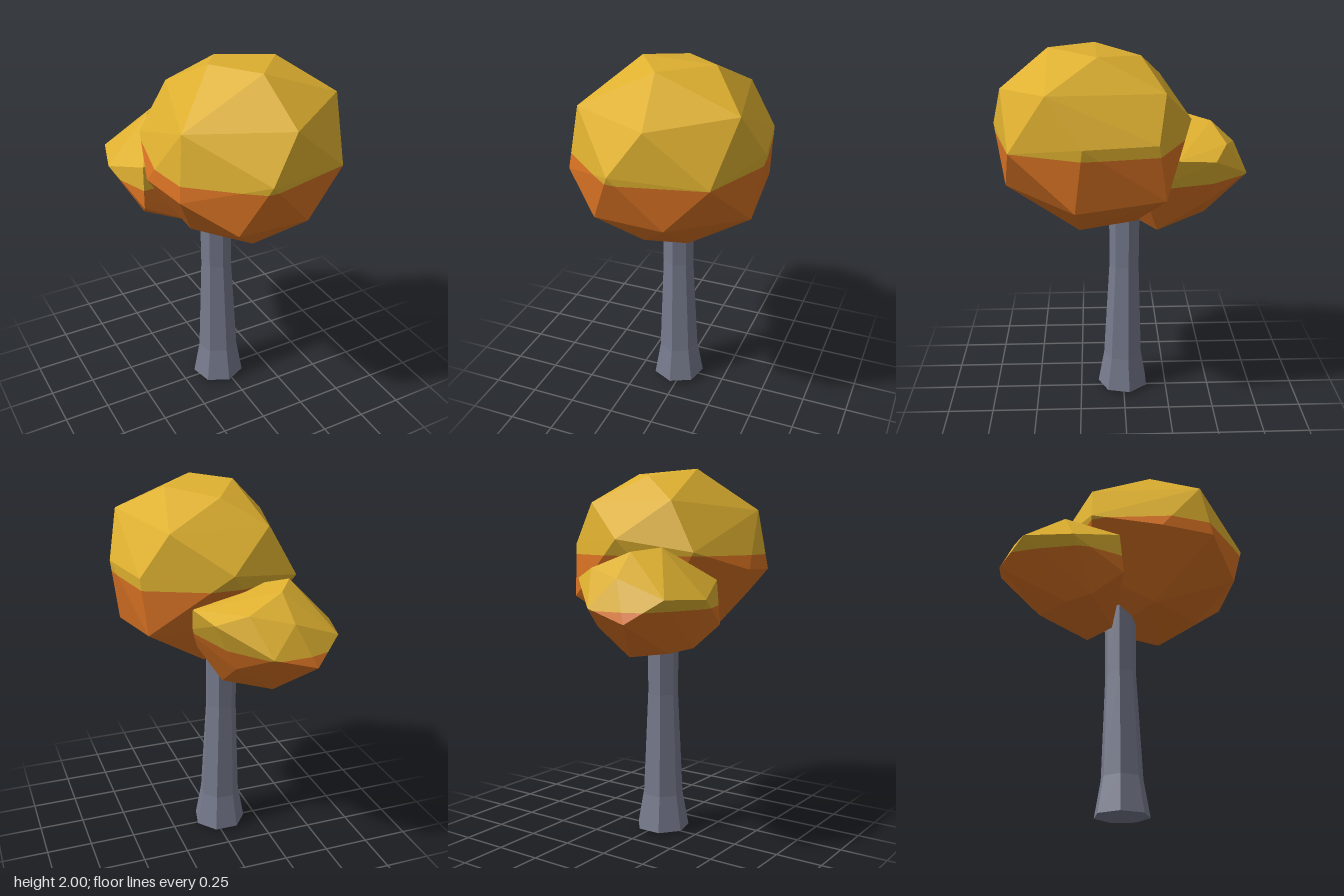
import * as THREE from 'three';
import { ConvexGeometry } from 'three/addons/geometries/ConvexGeometry.js';

const mat = (name, color) => {
  const m = new THREE.MeshStandardMaterial({ color, flatShading: true });
  m.name = name;
  return m;
};

// Part of a faceted solid above (sign 1) or below (sign -1) a height
function clipAt(geometry, height, sign) {
  const pos = geometry.attributes.position;
  const out = [];
  for (let i = 0; i < pos.count; i += 3) {
    const tri = [0, 1, 2].map(k => new THREE.Vector3().fromBufferAttribute(pos, i + k));
    const poly = [];
    tri.forEach((a, k) => {
      const b = tri[(k + 1) % 3];
      const da = (a.y - height) * sign, db = (b.y - height) * sign;
      if (da >= 0) poly.push(a);
      if (da * db < 0) poly.push(a.clone().lerp(b, da / (da - db)));
    });
    for (let k = 1; k + 1 < poly.length; k++) {
      for (const p of [poly[0], poly[k], poly[k + 1]]) out.push(p.x, p.y, p.z);
    }
  }
  const g = new THREE.BufferGeometry();
  g.setAttribute('position', new THREE.Float32BufferAttribute(out, 3));
  g.computeVertexNormals();
  return g;
}

// Faceted leaf clump, two colours meeting at a level line
function leafClump(name, corners, level, upper, lower) {
  const hull = new ConvexGeometry(corners.map(c => new THREE.Vector3(...c)));
  const group = new THREE.Group();
  group.name = name;
  const top = new THREE.Mesh(clipAt(hull, level, 1), upper);
  top.name = name + 'Top';
  const base = new THREE.Mesh(clipAt(hull, level, -1), lower);
  base.name = name + 'Underside';
  group.add(top, base);
  return group;
}

// Seven-sided trunk lofted through rings that flare at the foot
function trunkGeometry() {
  const rings = [ // y, centre x, centre z, radius
    [0.015, -0.03, 0, 0.148],
    [0.21, -0.03, 0, 0.113],
    [0.78, -0.035, -0.008, 0.086],
    [1.2, -0.037, -0.01, 0.088],
  ];
  const sides = 7;
  const g = new THREE.CylinderGeometry(1, 1, 1, sides, rings.length - 1).toNonIndexed();
  const pos = g.attributes.position;
  for (let i = 0; i < pos.count; i++) {
    const r = rings[Math.round((pos.getY(i) + 0.5) * (rings.length - 1))];
    const x = pos.getX(i), z = pos.getZ(i);
    const footCentre = r === rings[0] && Math.hypot(x, z) < 0.01;
    pos.setXYZ(i, r[1] + x * r[3], footCentre ? 0 : r[0], r[2] + z * r[3]);
  }
  g.computeVertexNormals();
  return g;
}

export function createModel() {
  const gold = mat('goldLeaves', 0xdeb030);
  const orange = mat('orangeLeaves', 0xd47022);
  const bark = mat('greyBark', 0x767a8c);

  const tree = new THREE.Group();
  tree.name = 'tree';

  const trunk = new THREE.Mesh(trunkGeometry(), bark);
  trunk.name = 'trunk';

  // Large crown, listed from the top down
  const crown = leafClump('largeCrown', [
    [-0.155, 2.0, 0.147], [0.01, 2.0, 0.385], [0.225, 1.985, 0.135], [0, 1.955, -0.09],
    [0.43, 1.84, 0.385], [0.05, 1.8, 0.635], [-0.41, 1.78, 0.375],
    [0.3, 1.82, -0.2], [-0.22, 1.82, -0.205],
    [0.51, 1.6, 0.213], [-0.107, 1.58, 0.695], [0.355, 1.54, 0.58],
    [0.02, 1.625, -0.357], [0.445, 1.6, -0.158], [-0.37, 1.56, -0.225],
    [-0.45, 1.46, 0.425], [-0.49, 1.465, 0.137],
    [0.46, 1.26, 0.255], [0.14, 1.31, 0.62], [-0.23, 1.31, 0.6],
    [0.42, 1.31, -0.2], [-0.2, 1.31, -0.2],
    [-0.05, 1.125, 0.42], [-0.26, 1.125, 0.14], [0.12, 1.045, 0.24], [0.08, 1.08, -0.065],
  ], 1.54, gold, orange);

  // Small crown behind, listed from the top down
  const sideCrown = leafClump('smallCrown', [
    [-0.27, 1.587, -0.357], [-0.175, 1.567, -0.487], [0.02, 1.487, -0.55],
    [0.165, 1.43, -0.478], [0.21, 1.45, -0.275], [-0.19, 1.445, -0.62], [-0.42, 1.42, -0.08],
    [0, 1.5, -0.15],
    [-0.515, 1.34, -0.338], [-0.44, 1.35, -0.585], [-0.06, 1.3, -0.68], [-0.285, 1.235, -0.695],
    [0.2, 1.28, -0.1], [0.05, 1.185, -0.466], [-0.43, 1.19, -0.06],
    [-0.37, 1.08, -0.22], [-0.15, 1.045, -0.466], [-0.3, 1.06, -0.34],
    [0.02, 1.0, -0.185], [-0.12, 1.02, -0.07],
  ], 1.29, gold, orange);

  tree.add(trunk, crown, sideCrown);
  return tree;
}
